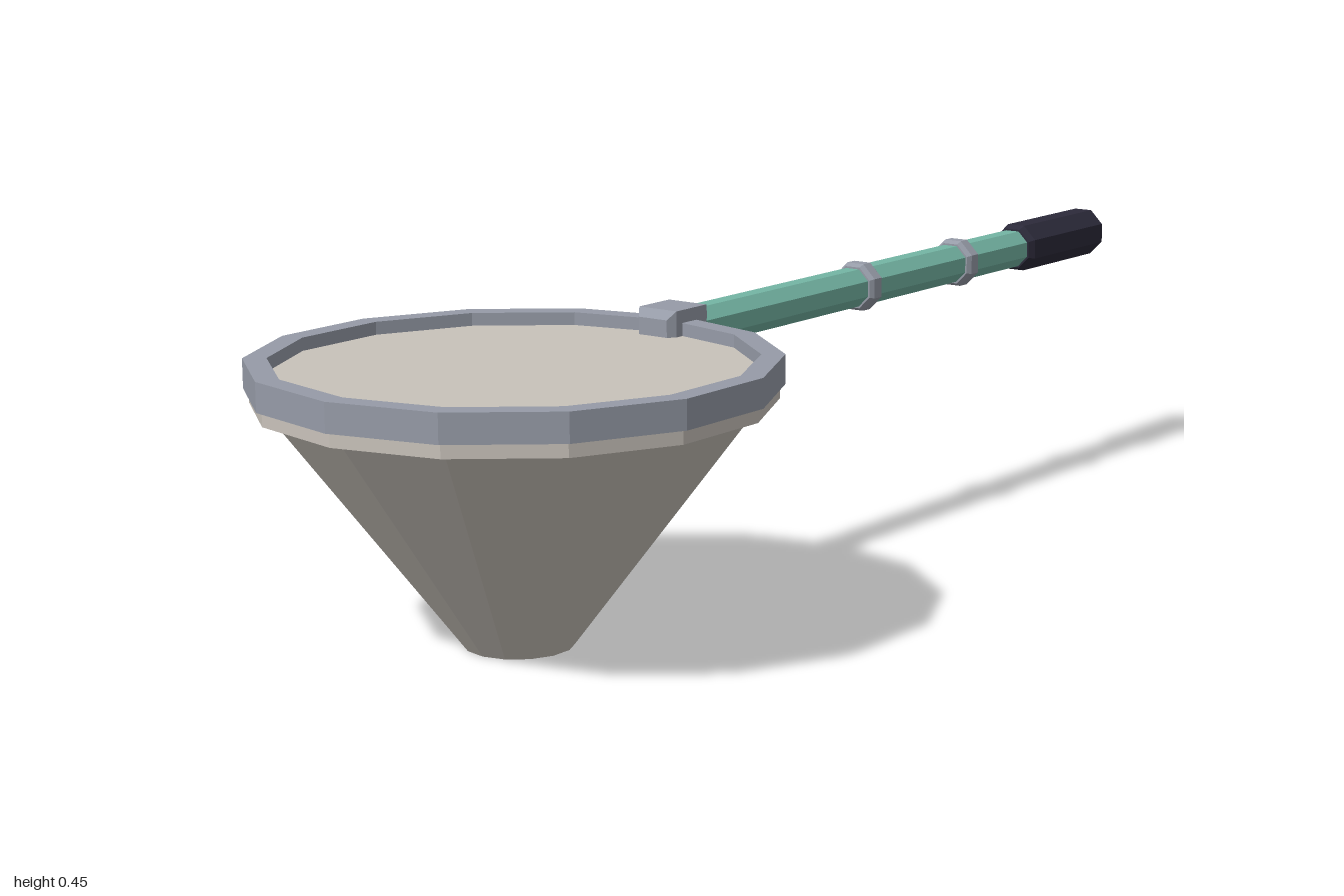
import * as THREE from 'three';

const material = (name, color) => {
  const m = new THREE.MeshStandardMaterial({ color });
  m.name = name;
  return m;
};

// Separate the faces so that every facet is flat
function faceted(geometry) {
  const g = geometry.index ? geometry.toNonIndexed() : geometry;
  g.computeVertexNormals();
  return g;
}

// Turned part from [radius, height] pairs, listed from bottom to top on the outside
function turned(points, sides, start = 0) {
  return new THREE.LatheGeometry(points.map(([r, y]) => new THREE.Vector2(r, y)), sides, start);
}

export function createModel() {
  const metal = material('grey metal', 0x969ba7);
  const netting = material('pale netting', 0xc8c2ba);
  const teal = material('teal tube', 0x74b5a4);
  const rubber = material('dark grip', 0x2c2a3a);

  const model = new THREE.Group();
  model.name = 'handNet';
  const add = (parent, name, geometry, mat, x = 0, y = 0, z = 0) => {
    const mesh = new THREE.Mesh(faceted(geometry), mat);
    mesh.name = name;
    mesh.position.set(x, y, z);
    parent.add(mesh);
    return mesh;
  };

  // Head: hoop, rim band and tapering net, all 14-sided
  const SIDES = 14;
  const head = new THREE.Group();
  head.name = 'head';
  head.position.z = 0.61;
  model.add(head);
  add(head, 'hoop', turned([[0.39, 0.386], [0.39, 0.43], [0.355, 0.43], [0.355, 0.386], [0.39, 0.386]], SIDES), metal);
  add(head, 'rimBand', new THREE.CylinderGeometry(0.382, 0.382, 0.023, SIDES), netting, 0, 0.3765, 0);
  add(head, 'netTop', new THREE.CylinderGeometry(0.356, 0.356, 0.03, SIDES), netting, 0, 0.395, 0);
  add(head, 'netCone', new THREE.CylinderGeometry(0.362, 0.082, 0.366, SIDES), netting, 0, 0.183, 0);

  // Handle: octagonal parts lying along z, with a flat side up
  const handle = new THREE.Group();
  handle.name = 'handle';
  handle.position.y = 0.41;
  model.add(handle);
  const octagonal = (points) => {
    const scaled = points.map(([r, d]) => [r / Math.cos(Math.PI / 8), d]);
    return turned(scaled, 8, Math.PI / 8).rotateX(-Math.PI / 2);
  };
  add(handle, 'tube', octagonal([[0, -0.23], [0.031, -0.23], [0.031, 0.98], [0.024, 1], [0, 1]]), teal);
  add(handle, 'grip', octagonal([
    [0.03, 0.74], [0.034, 0.74], [0.04, 0.752], [0.04, 0.985], [0.033, 0.998], [0.024, 0.998],
  ]), rubber);
  for (const z of [-0.26, -0.556]) {
    add(handle, 'collar', octagonal([
      [0.03, -0.018], [0.034, -0.018], [0.039, -0.01], [0.039, 0.01], [0.034, 0.018], [0.03, 0.018],
    ]), metal, 0, 0, z);
  }

  // Chamfered block that joins the handle to the hoop
  const bevel = 0.013, half = 0.04 - bevel, length = 0.1;
  const square = new THREE.Shape([
    new THREE.Vector2(-half, -half), new THREE.Vector2(half, -half),
    new THREE.Vector2(half, half), new THREE.Vector2(-half, half),
  ]);
  const block = new THREE.ExtrudeGeometry(square, {
    depth: length - 2 * bevel, bevelEnabled: true, bevelSize: bevel, bevelThickness: bevel, bevelSegments: 1,
  });
  // Chamfer the four long edges too
  const p = block.attributes.position;
  for (let i = 0; i < p.count; i++) {
    const x = p.getX(i), y = p.getY(i);
    if (Math.abs(x) > half + 0.005 && Math.abs(y) > half + 0.005) p.setX(i, Math.sign(x) * 0.036);
  }
  add(handle, 'joint', block, metal, 0, 0, 0.19 + bevel);

  return model;
}
